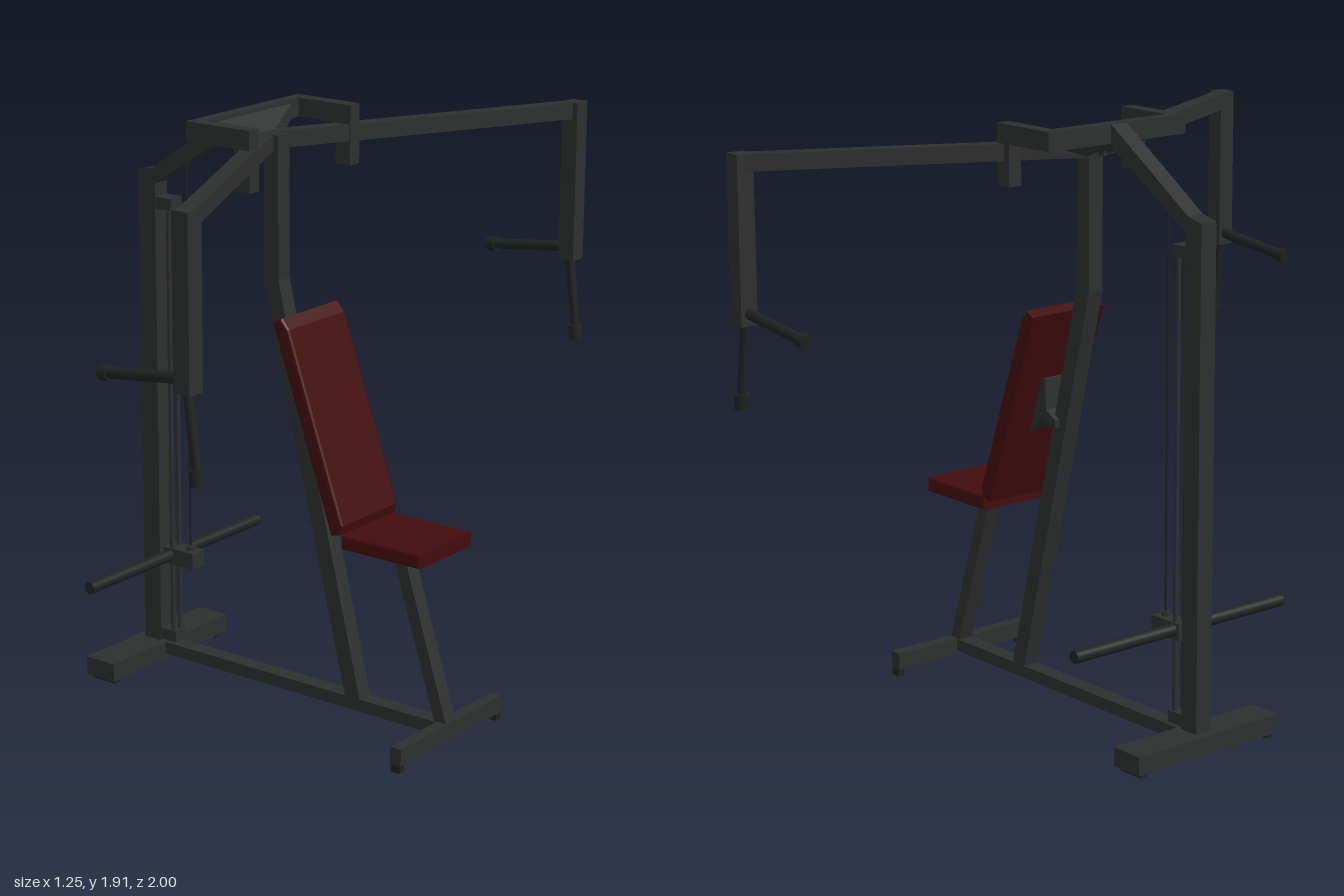
import * as THREE from 'three';
import { ConvexGeometry } from 'three/addons/geometries/ConvexGeometry.js';

export function createModel() {
  const model = new THREE.Group();
  model.name = 'chestPressMachine';

  const paint = (name, color) => {
    const m = new THREE.MeshStandardMaterial({ color });
    m.name = name;
    return m;
  };
  const frame = paint('charcoal frame', 0x2e2f2f);
  const rubber = paint('black rubber', 0x202222);
  const leather = paint('dark red leather', 0x420c0d);

  const V = (x, y, z) => new THREE.Vector3(x, y, z);
  const add = (name, geometry, material) => {
    const mesh = new THREE.Mesh(geometry, material);
    mesh.name = name;
    model.add(mesh);
    return mesh;
  };
  // Box given by its limits on each axis
  const box = (name, x0, x1, y0, y1, z0, z1, material = frame) => {
    const g = new THREE.BoxGeometry(x1 - x0, y1 - y0, z1 - z0);
    g.translate((x0 + x1) / 2, (y0 + y1) / 2, (z0 + z1) / 2);
    return add(name, g, material);
  };
  // Side outline in x and y, extruded to a half width in z
  const slab = (name, points, half, material = frame, bevel = 0) => {
    const shape = new THREE.Shape(points.map(([x, y]) => new THREE.Vector2(x, y)));
    const depth = 2 * (half - bevel);
    const g = new THREE.ExtrudeGeometry(shape, {
      depth, bevelEnabled: bevel > 0, bevelSize: bevel, bevelOffset: -bevel,
      bevelThickness: bevel, bevelSegments: 2,
    });
    g.translate(0, 0, -depth / 2);
    return add(name, g, material);
  };
  // Round bar between two points
  const rod = (name, a, b, r, material = frame, sides = 14) => {
    const g = new THREE.CylinderGeometry(r, r, a.distanceTo(b), sides);
    const mesh = add(name, g, material);
    mesh.position.copy(a).lerp(b, 0.5);
    mesh.quaternion.setFromUnitVectors(V(0, 1, 0), b.clone().sub(a).normalize());
    return mesh;
  };

  // Base
  box('rearFoot', -0.63, -0.515, 0.02, 0.08, -0.288, 0.288);
  box('baseBeam', -0.53, 0.6, 0.037, 0.078, -0.028, 0.028);
  box('frontFoot', 0.585, 0.625, 0.025, 0.08, -0.27, 0.27);
  for (const s of [-1, 1]) {
    box('frontFootPad', 0.588, 0.622, 0, 0.025, s * 0.26 - 0.012, s * 0.26 + 0.012, rubber);
    box('rearFootPad', -0.62, -0.525, 0.005, 0.02, s * 0.26 - 0.012, s * 0.26 + 0.012, rubber);
  }

  // Rear column, sloping top beam and main post
  box('rearColumn', -0.6, -0.532, 0.06, 1.665, -0.03, 0.03);
  slab('topBeam', [[-0.6, 1.665], [-0.532, 1.63], [-0.18, 1.855], [-0.18, 1.91], [-0.2, 1.908], [-0.54, 1.68]], 0.03);
  slab('mainPost', [[0.232, 0.07], [0.29, 0.07], [-0.036, 1.39], [-0.036, 1.845], [-0.092, 1.845], [-0.092, 1.375]], 0.028);

  // Weight guides, carriage and cable
  box('lowerGuideBracket', -0.54, -0.47, 0.087, 0.125, -0.028, 0.028);
  box('upperGuideBracket', -0.54, -0.47, 1.548, 1.586, -0.028, 0.028);
  for (const s of [-1, 1]) rod('guideRod', V(-0.488, 0.1, s * 0.017), V(-0.488, 1.57, s * 0.017), 0.008);
  box('weightCarriage', -0.517, -0.393, 0.36, 0.414, -0.03, 0.03);
  rod('weightBar', V(-0.49, 0.39, -0.425), V(-0.49, 0.39, 0.425), 0.02, rubber);
  rod('cableAnchor', V(-0.425, 0.41, 0), V(-0.425, 0.428, 0), 0.014);
  rod('cable', V(-0.425, 0.42, 0), V(-0.425, 1.71, 0), 0.004, rubber, 8);

  // Top yoke with a sloping gusset down to the post
  box('yokeBack', -0.196, -0.155, 1.85, 1.91, -0.273, 0.273);
  const gusset = [V(-0.095, 1.795, 0.025), V(-0.095, 1.845, 0.025)];
  gusset.push(V(-0.158, 1.85, 0.2), V(-0.158, 1.9, 0.2));
  add('yokeGusset', new ConvexGeometry(gusset.flatMap(p => [p, V(p.x, p.y, -p.z)])), frame);

  for (const s of [-1, 1]) {
    const zs = (a, b) => [Math.min(s * a, s * b), Math.max(s * a, s * b)];
    box('yokeSide', -0.196, 0.048, 1.85, 1.91, ...zs(0.226, 0.273));
    box('yokeStub', -0.01, 0.048, 1.72, 1.852, ...zs(0.226, 0.273));

    // Press arm swept out and forward
    const start = V(-0.095, 1.823, 0), end = V(0.385, 1.823, s * 0.965);
    const arm = add('pressArm', new THREE.BoxGeometry(0.05, 0.052, start.distanceTo(end)), frame);
    arm.position.copy(start).lerp(end, 0.5);
    arm.rotation.y = Math.atan2(end.x - start.x, end.z - start.z);
    box('armUpright', 0.362, 0.419, 1.33, 1.85, ...zs(0.942, 1));

    // Two grips with end knobs on each arm
    const z = s * 0.97;
    rod('insideGrip', V(0.385, 1.37, z), V(0.09, 1.335, z), 0.017, rubber);
    rod('insideGripKnob', V(0.1, 1.336, z), V(0.07, 1.332, z), 0.023, rubber);
    rod('lowerGrip', V(0.387, 1.345, z), V(0.42, 1.09, z), 0.015, rubber);
    rod('lowerGripKnob', V(0.416, 1.112, z), V(0.422, 1.065, z), 0.023, rubber);
  }

  // Backrest and its mount
  slab('backrest', [[0.033, 1.293], [0.066, 1.31], [0.093, 1.278], [0.302, 0.69], [0.295, 0.66], [0.26, 0.65]], 0.147, leather, 0.01);
  slab('backrestMount', [[0.098, 1.07], [0.094, 0.97], [0.05, 0.945], [0.05, 0.92], [0.115, 0.945], [0.178, 0.885], [0.19, 0.885], [0.12, 1.07]], 0.045);

  // Seat with a tapered underside, and its post
  slab('seat', [[0.295, 0.613], [0.59, 0.613], [0.59, 0.66], [0.295, 0.66]], 0.14, leather, 0.008);
  const under = [];
  for (const s of [-1, 1]) {
    under.push(V(0.302, 0.618, s * 0.134), V(0.584, 0.618, s * 0.134));
    under.push(V(0.41, 0.583, s * 0.03), V(0.475, 0.583, s * 0.03));
  }
  add('seatUnderside', new ConvexGeometry(under), leather);
  slab('seatPost', [[0.582, 0.06], [0.622, 0.07], [0.465, 0.56], [0.475, 0.588], [0.405, 0.588], [0.42, 0.56]], 0.026);

  return model;
}
